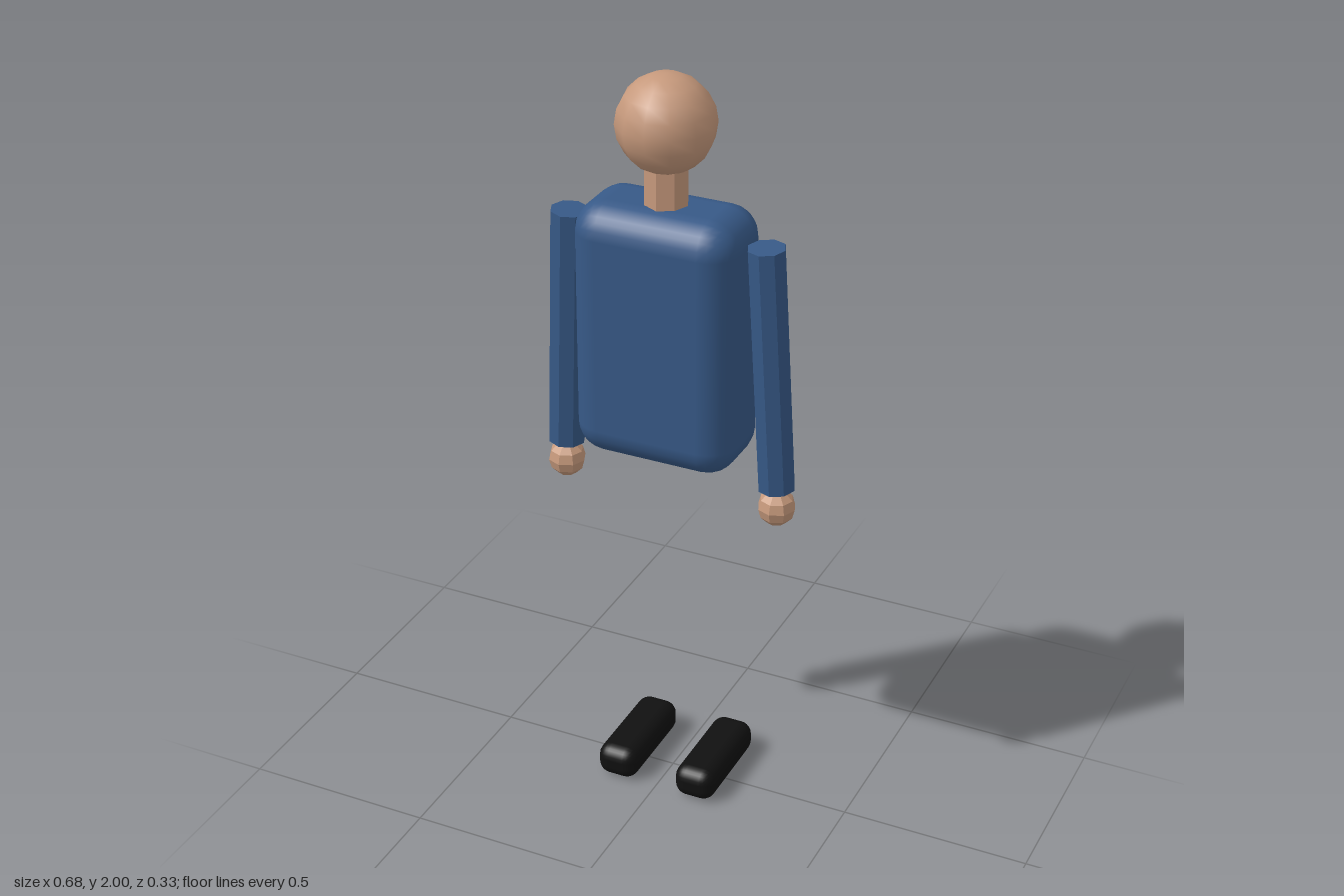
import * as THREE from 'three';
import { RoundedBoxGeometry } from 'three/addons/geometries/RoundedBoxGeometry.js';

function material(name, color, flatShading = false) {
  const m = new THREE.MeshStandardMaterial({ color, flatShading });
  m.name = name;
  return m;
}

export function createModel() {
  const group = new THREE.Group();
  group.name = 'figure';

  const skin = material('skin', 0xc6997c);
  const cloth = material('blue cloth', 0x375987);
  const leather = material('black leather', 0x101010);

  const add = (name, geometry, mat, x, y, z) => {
    const mesh = new THREE.Mesh(geometry, mat);
    mesh.name = name;
    mesh.position.set(x, y, z);
    group.add(mesh);
    return mesh;
  };
  // Faceted copy of a geometry
  const faceted = (geometry) => {
    const g = geometry.toNonIndexed();
    g.computeVertexNormals();
    return g;
  };

  const bodyZ = 0.038;

  // Torso, neck and head
  add('torso', new RoundedBoxGeometry(0.428, 0.675, 0.247, 3, 0.08), cloth, 0, 1.3375, bodyZ);
  add('neck', faceted(new THREE.CylinderGeometry(0.056, 0.056, 0.16, 8)), skin, 0, 1.72, bodyZ);
  add('head', new THREE.SphereGeometry(0.123, 12, 10), skin, 0, 1.877, bodyZ);

  // Arms, hands and shoes on both sides
  for (const [side, s] of [['left', 1], ['right', -1]]) {
    const shoulder = new THREE.Vector3(0.261 * s, 1.607, bodyZ);
    const wrist = new THREE.Vector3(0.292 * s, 0.951, 0.018);
    const along = shoulder.clone().sub(wrist);
    const mid = shoulder.clone().add(wrist).multiplyScalar(0.5);
    const arm = add(side + 'Arm', faceted(new THREE.CylinderGeometry(0.048, 0.048, along.length(), 8)),
      cloth, mid.x, mid.y, mid.z);
    arm.quaternion.setFromUnitVectors(new THREE.Vector3(0, 1, 0), along.normalize());

    add(side + 'Hand', faceted(new THREE.SphereGeometry(0.049, 8, 6)), skin, 0.293 * s, 0.897, 0.018);
    add(side + 'Shoe', new RoundedBoxGeometry(0.112, 0.09, 0.295, 3, 0.035), leather, 0.113 * s, 0.045, -0.017);
  }
  return group;
}
